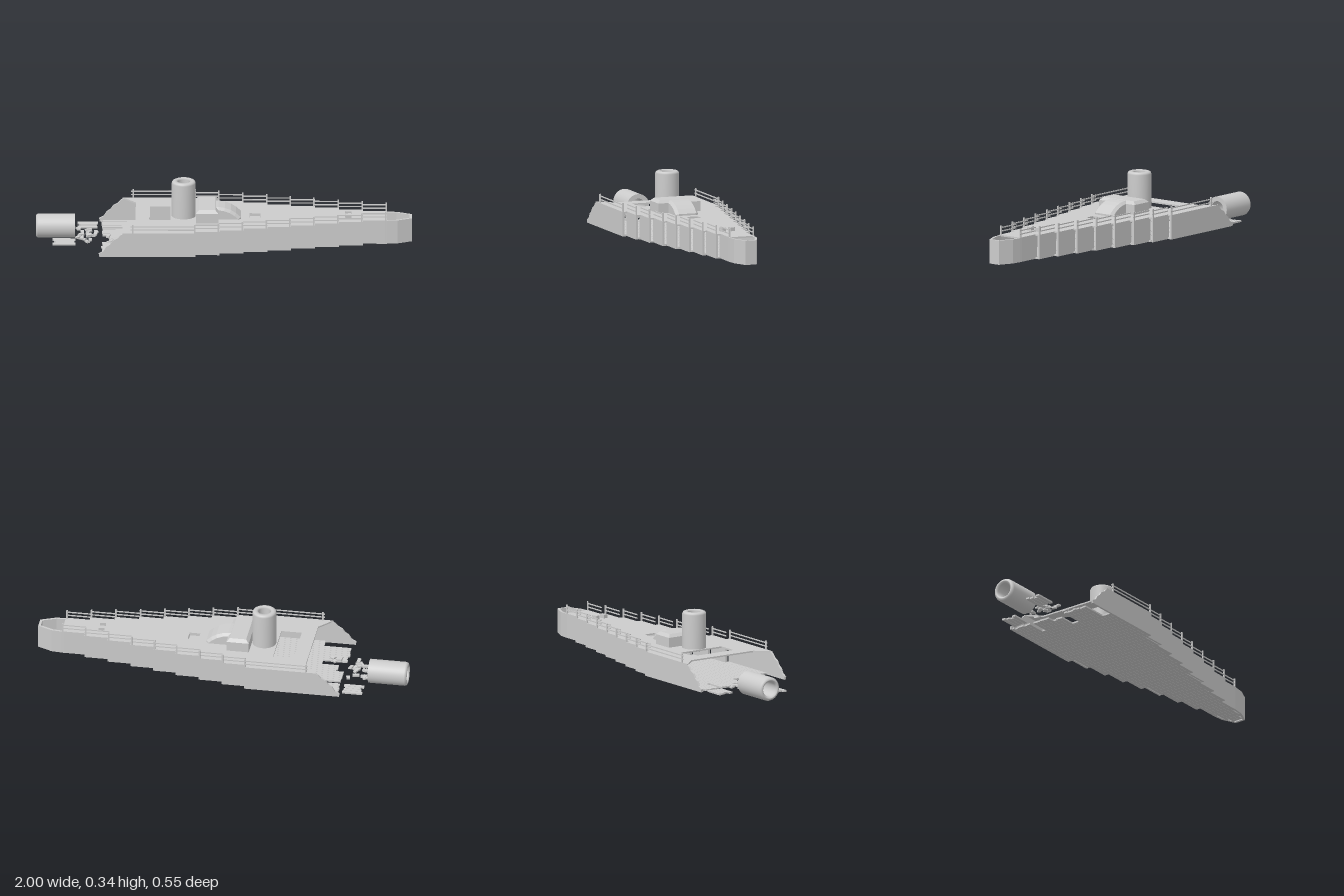
import * as THREE from 'three';

const material = new THREE.MeshStandardMaterial({ color: 0xcccccc, flatShading: true });
const smooth = new THREE.MeshStandardMaterial({ color: 0xcccccc });

// Stepped plan: x of each step and half width of each section
const STEPS = [-0.15, -0.025, 0.103, 0.23, 0.355, 0.482, 0.61, 0.738, 0.865];
const halfWidth = (i) => 0.277 - 0.0257 * i;
const FLOOR = 0.015, DECK = 0.147;

function add(parent, name, geometry, x = 0, y = 0, z = 0, mat = material) {
  const mesh = new THREE.Mesh(geometry, mat);
  mesh.name = name;
  mesh.position.set(x, y, z);
  parent.add(mesh);
  return mesh;
}
// Box given by its minimum and maximum corners
function block(parent, name, x0, x1, y0, y1, z0, z1) {
  return add(parent, name, new THREE.BoxGeometry(x1 - x0, y1 - y0, z1 - z0),
    (x0 + x1) / 2, (y0 + y1) / 2, (z0 + z1) / 2);
}
const polygon = (pts) => new THREE.Shape(pts.map(([x, y]) => new THREE.Vector2(x, y)));
const extrude = (shape, depth, bevel = 0) => new THREE.ExtrudeGeometry(shape, {
  depth, bevelEnabled: bevel > 0, bevelSize: bevel, bevelThickness: bevel, bevelSegments: 1,
});
// Extrude a plan drawn in x, -z upwards
const slab = (shape, height, bevel) => extrude(shape, height, bevel).rotateX(-Math.PI / 2);
const rect = (x0, x1, y0, y1) => [[x0, y0], [x1, y0], [x1, y1], [x0, y1]];

function seeded(seed) {
  let s = seed;
  return () => (s = (s * 16807) % 2147483647) / 2147483647;
}

// Hollow chimney with a rounded upper rim
function funnelGeometry(height, bore) {
  const r = 0.064, p = [[bore, 0], [r, 0], [r, 0], [r, height - 0.013], [r - 0.004, height - 0.004],
    [r - 0.012, height], [bore + 0.008, height], [bore, height - 0.008], [bore, 0]];
  return new THREE.LatheGeometry(p.map(([x, y]) => new THREE.Vector2(x, y)), 40);
}

function buildDeck(hull) {
  const side = [[-0.47, 0.2], [-0.54, 0.277]];
  STEPS.forEach((x, i) => side.push([x, halfWidth(i)], [x, halfWidth(Math.min(i + 1, 8))]));
  side.pop();
  const mirror = side.map(([x, z]) => [x, -z]).reverse();
  const shape = polygon([...side, ...mirror]);
  // cargo opening and small hatch
  for (const r of [rect(-0.395, -0.285, -0.125, 0.14), rect(0.135, 0.192, -0.028, 0.036)]) {
    shape.holes.push(new THREE.Path(r.map(([x, y]) => new THREE.Vector2(x, y))));
  }
  add(hull, 'deck', slab(shape, 0.008), 0, DECK - 0.008, 0);
  block(hull, 'hatchCover', 0.137, 0.19, 0.125, 0.132, -0.034, 0.026);
  for (const z of [-0.02, 0.03]) {
    const bit = block(hull, 'deckDebris', 0.643, 0.675, DECK, 0.167, z - 0.014, z + 0.01);
    bit.rotation.y = 0.2;
  }
}

function buildSides(hull) {
  const sternProfile = [[-0.15, FLOOR], [-0.15, DECK], [-0.53, DECK], [-0.55, 0.135], [-0.565, 0.118],
    [-0.59, 0.105], [-0.605, 0.083], [-0.625, 0.07], [-0.64, 0.045], [-0.665, 0.032], [-0.662, FLOOR]];
  for (const s of [1, -1]) {
    const T = 0.011;
    const outer = halfWidth(0);
    add(hull, 'sternSide', extrude(polygon(sternProfile.slice().reverse()), T), 0, 0, s > 0 ? outer - T : -outer);
    for (let i = 1; i < STEPS.length; i++) {
      const z = s * (halfWidth(i) - T / 2);
      block(hull, 'sidePanel', STEPS[i - 1] - 0.012, STEPS[i], FLOOR, DECK, z - T / 2, z + T / 2);
    }
    // railing, one run for every step
    for (let i = 0; i < STEPS.length; i++) {
      const x0 = i ? STEPS[i - 1] : -0.49, x1 = STEPS[i];
      const z = s * (halfWidth(i) - 0.004);
      const posts = i ? [x1 - 0.006] : [x0 + 0.006, x1 - 0.006];
      for (const x of posts) block(hull, 'railPost', x - 0.004, x + 0.004, DECK - 0.004, 0.195, z - 0.0035, z + 0.0035);
      for (const y of [0.165, 0.184]) block(hull, 'rail', x0 - 0.006, x1, y - 0.003, y + 0.003, z - 0.002, z + 0.002);
    }
  }
}

// Open, blunt bow made as a U-shaped wall
function buildBow(hull) {
  const side = [[0.855, 0.072], [0.92, 0.066], [0.998, 0.032]];
  const inside = [[0.985, 0.025], [0.915, 0.055], [0.855, 0.061]];
  const flip = (pts) => pts.map(([x, z]) => [x, -z]).reverse();
  const wall = polygon([...side, ...flip(side), ...flip(inside), ...inside]);
  add(hull, 'bowWall', slab(wall, DECK - FLOOR - 0.002), 0, FLOOR, 0);
}

// Bottom boards, ragged at the broken stern
function buildFloor(hull) {
  const random = seeded(7);
  const pitch = 0.0205;
  for (let k = -13; k <= 13; k++) {
    const z = k * pitch;
    let end = -0.15;
    STEPS.forEach((x, i) => { if (Math.abs(z) + 0.008 < halfWidth(i)) end = x; });
    if (Math.abs(z) < 0.05) end = Math.abs(z) < 0.03 ? 0.975 : 0.94;
    let start = -0.655 + 0.012 * random();
    if (z > 0.03 && z < 0.08) start = -0.54 + 0.03 * random();
    else if (z > 0.21) start = -0.5;
    else if (Math.abs(z) < 0.03) start += 0.04;
    else if (z < -0.135 && z > -0.16) start = -0.54;
    block(hull, 'floorPlank', start, end, FLOOR, FLOOR + 0.009, z - 0.0096, z + 0.0096);
  }
}

function buildBridge(ship) {
  const bridge = new THREE.Group();
  bridge.name = 'bridge';
  ship.add(bridge);
  add(bridge, 'cabin', slab(polygon(rect(-0.134, -0.046, -0.105, 0.105)), 0.086, 0.016), 0, 0.114, 0);
  // Curved hood sloping down to the deck
  const hood = polygon([[-0.06, 0.11], [0.075, 0.11], [0.075, 0.15], [0.055, 0.168], [0.03, 0.184],
    [0, 0.195], [-0.03, 0.2], [-0.06, 0.2]]);
  add(bridge, 'hood', extrude(hood, 0.1, 0.014), 0, 0, -0.05);
}

function buildWreckage(ship) {
  const wreck = new THREE.Group();
  wreck.name = 'wreckage';
  ship.add(wreck);
  const fallen = add(wreck, 'fallenFunnel', funnelGeometry(0.208, 0.04), -0.792, 0.065, -0.066, smooth);
  fallen.rotation.z = Math.PI / 2;
  // two rafts of torn boards
  for (const [x0, x1, z0, count] of [[-0.78, -0.672, -0.24, 4], [-0.912, -0.79, 0.018, 4]]) {
    for (let i = 0; i < count; i++) {
      const z = z0 + i * 0.022, cut = 0.008 * (i % 3);
      block(wreck, 'loosePlank', x0 + cut, x1 - cut / 2, FLOOR, FLOOR + 0.009, z, z + 0.02);
    }
  }
  // scattered splinters
  const random = seeded(23);
  for (let i = 0; i < 26; i++) {
    const far = i > 19;
    const x = far ? -0.64 + 0.07 * random() : -0.775 + 0.095 * random();
    const z = far ? 0.03 + 0.055 * random() : -0.105 + 0.205 * random();
    const bit = add(wreck, 'splinter', new THREE.BoxGeometry(0.022 + 0.015 * random(), 0.009, 0.018),
      x, 0.022 + 0.028 * random(), z);
    bit.rotation.set(0.3 * (random() - 0.5), random() * 3, 0.3 * (random() - 0.5));
  }
}

export function createModel() {
  const ship = new THREE.Group();
  ship.name = 'wreckedShip';
  const hull = new THREE.Group();
  hull.name = 'hull';
  ship.add(hull);
  buildDeck(hull);
  buildSides(hull);
  buildBow(hull);
  buildFloor(hull);
  buildBridge(ship);
  add(ship, 'funnel', funnelGeometry(0.205, 0.031), -0.215, 0.139, -0.003, smooth);
  buildWreckage(ship);
  return ship;
}
